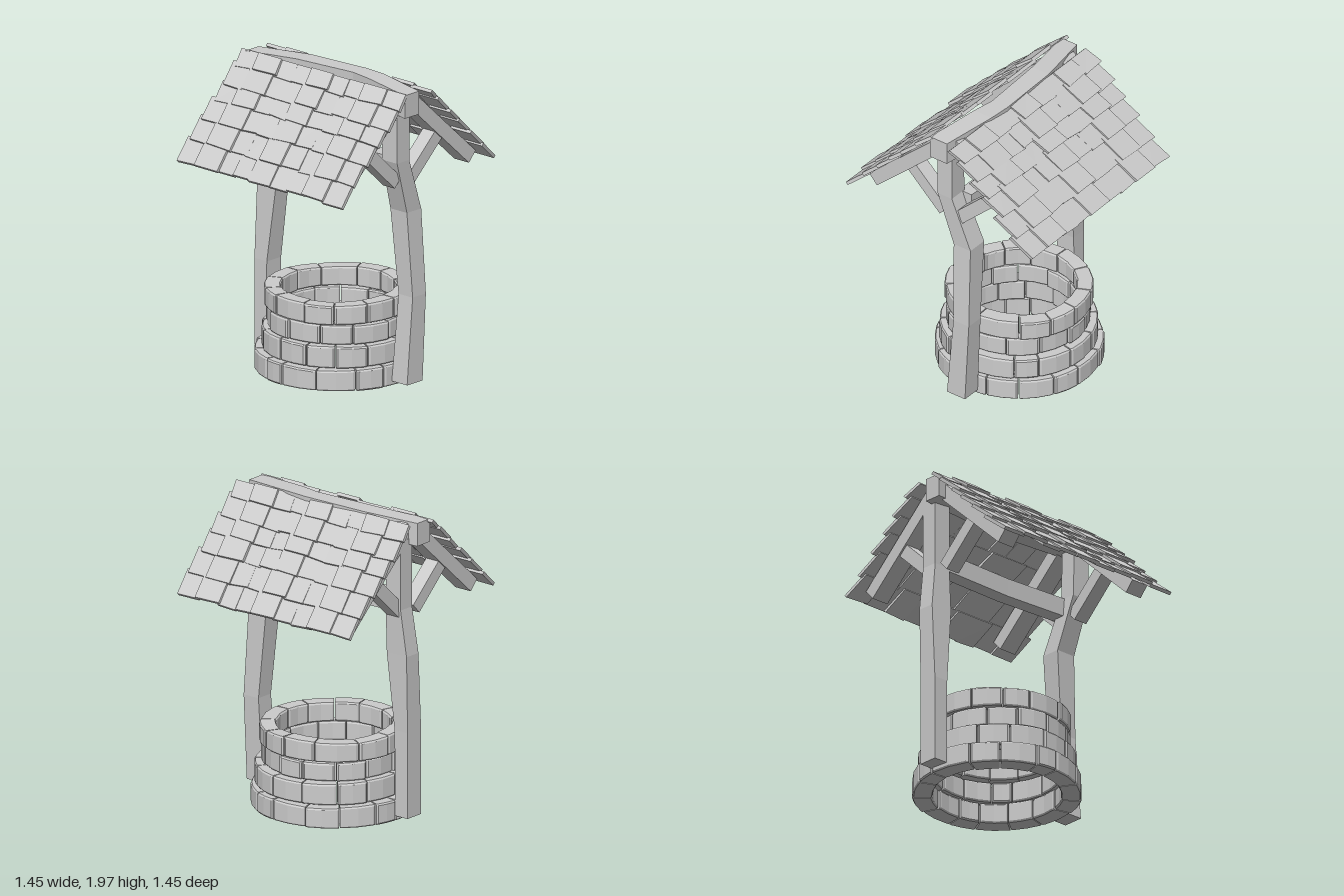
import * as THREE from 'three';

const mat = new THREE.MeshStandardMaterial({ color: 0xcccccc, flatShading: true });

let seed = 7;
function jitter(a) { // seeded value in -a..a
  seed = (seed * 16807) % 2147483647;
  return (seed / 2147483647 * 2 - 1) * a;
}

// moves every vertex of a geometry by a rule
function reshape(geo, rule) {
  const p = geo.attributes.position, v = new THREE.Vector3();
  for (let i = 0; i < p.count; i++) {
    v.fromBufferAttribute(p, i);
    rule(v);
    p.setXYZ(i, v.x, v.y, v.z);
  }
  geo.computeVertexNormals();
  return geo;
}

function addMesh(parent, geo, name) {
  const m = new THREE.Mesh(geo, mat);
  m.name = name;
  parent.add(m);
  return m;
}

// crooked upright post; rows are [y, x0, x1, z0, z1] from bottom to top
function post(rows) {
  const n = rows.length - 1;
  return reshape(new THREE.BoxGeometry(1, 1, 1, 1, n, 1), v => {
    const [y, x0, x1, z0, z1] = rows[Math.round((v.y + 0.5) * n)];
    v.set(v.x < 0 ? x0 : x1, y, v.z < 0 ? z0 : z1);
  });
}

// crooked beam along x; rows are [x, y0, y1, z0, z1] from -x to +x
function beam(rows) {
  const n = rows.length - 1;
  return reshape(new THREE.BoxGeometry(1, 1, 1, n, 1, 1), v => {
    const [x, y0, y1, z0, z1] = rows[Math.round((v.x + 0.5) * n)];
    v.set(x, v.y < 0 ? y0 : y1, v.z < 0 ? z0 : z1);
  });
}

// straight timber in a plane of constant x, between two [z, y] points
function timber(parent, name, x, width, depth, a, b) {
  const dz = b[0] - a[0], dy = b[1] - a[1];
  const m = addMesh(parent, new THREE.BoxGeometry(width, depth, Math.hypot(dz, dy)), name);
  m.position.set(x, (a[1] + b[1]) / 2, (a[0] + b[0]) / 2);
  m.rotation.x = -Math.atan2(dy, dz);
}

// ring of curved stones with narrow joints
function stoneRing(cx, cz, y0, y1, rIn, rOut, count, turn) {
  const ring = new THREE.Group();
  ring.name = 'stoneRing';
  const edges = [], tops = [];
  for (let i = 0; i < count; i++) {
    edges.push((i + jitter(0.18)) / count * Math.PI * 2 + turn);
    tops.push(jitter(0.008));
  }
  for (let i = 0; i < count; i++) {
    const a0 = edges[i] + 0.008;
    const a1 = (i + 1 < count ? edges[i + 1] : edges[0] + Math.PI * 2) - 0.008;
    const push = jitter(0.008), t0 = tops[i], t1 = tops[(i + 1) % count];
    addMesh(ring, reshape(new THREE.BoxGeometry(1, 1, 1, 4, 3, 3), v => {
      const s = v.x + 0.5;
      // outermost rows of the box form a small chamfer
      const row = Math.round((v.y + 0.5) * 3), col = Math.round((v.z + 0.5) * 3);
      const rim = [0, 0.009, -0.009, 0];
      const atRow = row === 0 || row === 3, atCol = col === 0 || col === 3;
      const seg = Math.round(s * 4);
      let y = [y0, y0 + 0.01, y1 - 0.01, y1][row];
      let r = [rIn, rIn + 0.01, rOut - 0.01, rOut][col];
      if (atRow && atCol) r -= Math.sign(v.z) * 0.007;
      if (seg === 0 || seg === 4) { if (atCol) r -= Math.sign(v.z) * 0.007; }
      if (row > 1) y += t0 + (t1 - t0) * s;
      r += push;
      const angle = a0 + (a1 - a0) * [0, 0.06, 0.5, 0.94, 1][seg];
      v.set(cx + r * Math.sin(angle), y, cz + r * Math.cos(angle));
    }), 'stone');
  }
  return ring;
}

// one roof slope; local z runs down the slope, local y points out of it
function roofSlope() {
  const slope = new THREE.Group();
  slope.name = 'roofSlope';
  const cols = [-0.70, -0.54, -0.37, -0.23, -0.09, 0.07, 0.22, 0.37, 0.53, 0.69];
  const rows = [0, 0.125, 0.27, 0.39, 0.535, 0.695, 0.85];
  for (let r = 0; r < 6; r++) {
    for (let c = 0; c < 9; c++) {
      const raised = c % 3 === 1;
      const x0 = cols[c] - (raised ? 0.012 : 0.004) + jitter(0.006);
      const x1 = cols[c + 1] + (raised ? 0.012 : 0.004) + jitter(0.006);
      const z0 = rows[r] - (r ? 0.03 : 0) + jitter(0.004);
      const e0 = rows[r + 1] + jitter(0.008), e1 = rows[r + 1] + jitter(0.008);
      const lift = (raised ? 0.012 : 0) + jitter(0.003), tilt = 0.014 + jitter(0.004);
      addMesh(slope, reshape(new THREE.BoxGeometry(1, 1, 1), v => {
        const low = v.z > 0, right = v.x > 0;
        v.set((right ? x1 : x0) + (low ? 0.018 : -0.018),
          (v.y > 0 ? -0.012 : -0.034) + lift + (low ? tilt : 0),
          low ? (right ? e1 : e0) : z0);
      }), 'shingle');
    }
  }
  slope.position.set(0, 1.975, 0.1);
  slope.rotation.x = 0.765;
  return slope;
}

export function createModel() {
  const model = new THREE.Group();
  model.name = 'well';

  // stone wall
  const wall = new THREE.Group();
  wall.name = 'stoneWall';
  wall.add(
    stoneRing(-0.04, -0.055, 0.01, 0.142, 0.40, 0.525, 15, 0.1),
    stoneRing(-0.03, -0.06, 0.15, 0.284, 0.385, 0.49, 14, 0.3),
    stoneRing(-0.03, -0.055, 0.292, 0.412, 0.36, 0.45, 13, 0.05),
    stoneRing(-0.04, -0.06, 0.42, 0.543, 0.355, 0.46, 13, 0.25));
  model.add(wall);

  // crooked posts
  addMesh(model, post([
    [0.04, 0.48, 0.61, -0.13, 0.01],
    [0.6, 0.49, 0.61, -0.16, -0.04],
    [1.15, 0.44, 0.58, -0.15, -0.02],
    [1.5, 0.47, 0.60, -0.02, 0.09],
    [1.85, 0.48, 0.60, -0.02, 0.09]]), 'leftPost');
  addMesh(model, post([
    [0.04, -0.66, -0.56, -0.09, 0.04],
    [0.6, -0.66, -0.555, -0.09, 0.04],
    [1.1, -0.66, -0.50, -0.10, 0.015],
    [1.4, -0.62, -0.50, -0.11, 0.0],
    [1.85, -0.62, -0.50, -0.11, 0.0]]), 'rightPost');

  // ridge beam and tie beam
  addMesh(model, beam([
    [-0.68, 1.81, 1.96, -0.02, 0.10],
    [-0.3, 1.83, 1.975, -0.09, 0.04],
    [0.15, 1.83, 1.98, -0.11, 0.01],
    [0.3, 1.83, 1.98, -0.10, 0.035],
    [0.67, 1.81, 1.96, -0.035, 0.095]]), 'ridgeBeam');
  addMesh(model, beam([
    [-0.52, 1.38, 1.50, -0.10, 0.0],
    [0, 1.37, 1.49, -0.10, 0.0],
    [0.49, 1.38, 1.50, -0.09, 0.01]]), 'tieBeam');

  // rafters and braces at both gables
  for (const x of [-0.555, 0.53]) {
    for (const s of [1, -1]) {
      timber(model, 'rafter', x, 0.125, 0.09, [0.01 * s, 1.92], [0.6 * s, 1.385]);
      timber(model, 'brace', x, 0.10, 0.085, [0.35 * s, 1.635], [0.06 * s, 1.365]);
    }
  }

  // shingled roof
  const roof = new THREE.Group();
  roof.name = 'roof';
  const back = new THREE.Group();
  back.name = 'backRoof';
  back.rotation.y = Math.PI;
  back.add(roofSlope());
  roof.add(roofSlope(), back);
  model.add(roof);
  return model;
}
